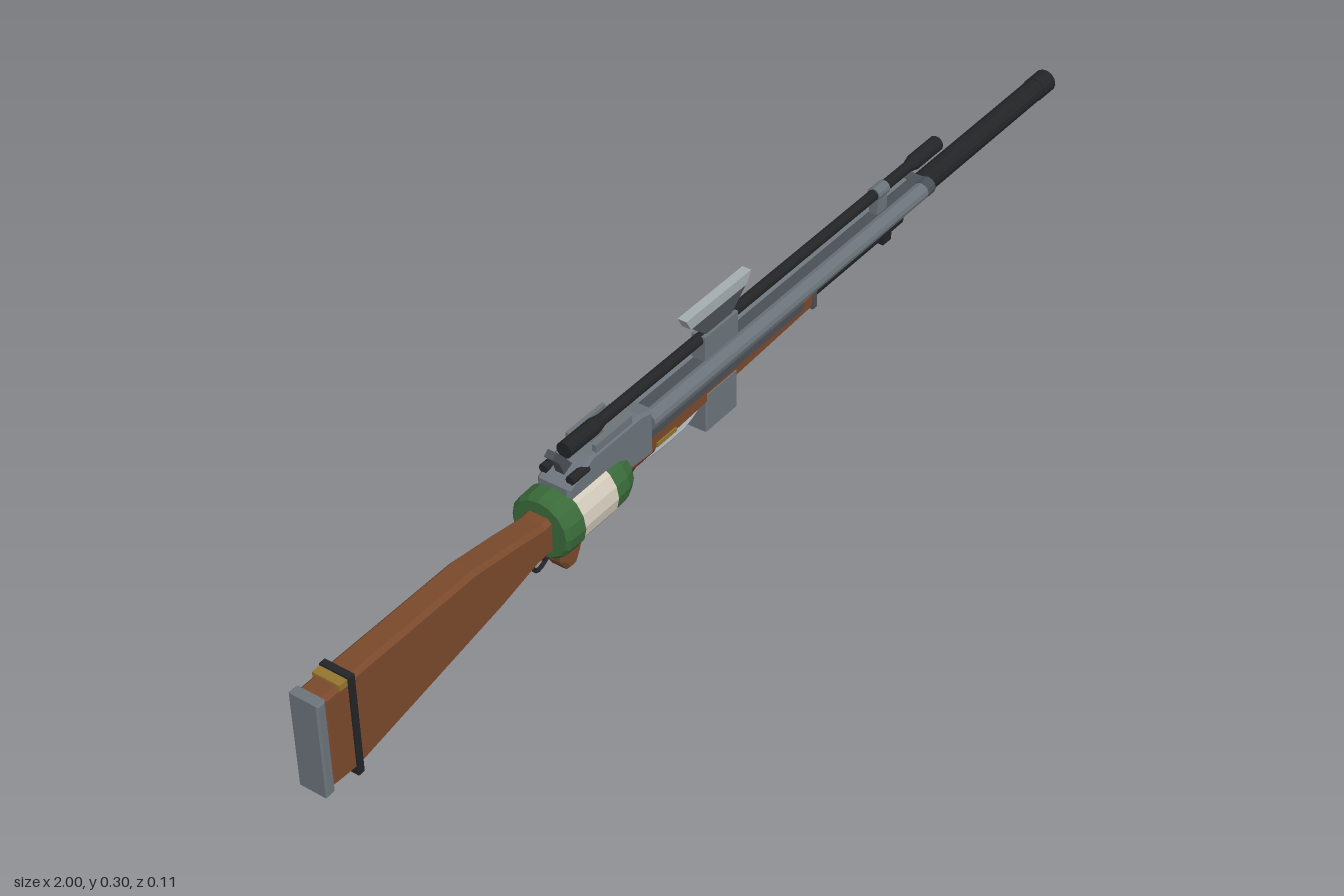
import * as THREE from 'three';

const paint = (name, color) => {
  const m = new THREE.MeshStandardMaterial({ color, flatShading: true });
  m.name = name;
  return m;
};

export function createModel() {
  const group = new THREE.Group();
  const wood = paint('wood', 0x7a4a2c);
  const steel = paint('steel', 0x6c747b);
  const darkSteel = paint('dark steel', 0x4b5056);
  const black = paint('black metal', 0x222426);
  const green = paint('green', 0x3a6b3a);
  const cream = paint('cream', 0xd2cabb);
  const pale = paint('pale steel', 0xa5adb2);
  const brass = paint('brass', 0x96752f);
  const red = paint('red', 0x8f2f22);

  const add = (name, geo, mat) => {
    const mesh = new THREE.Mesh(geo, mat);
    mesh.name = name;
    group.add(mesh);
    return mesh;
  };
  // Box given by its x and y limits, and its centre and size in z
  const box = (name, mat, x0, x1, y0, y1, depth, z = 0) =>
    add(name, new THREE.BoxGeometry(x1 - x0, y1 - y0, depth)
      .translate((x0 + x1) / 2, (y0 + y1) / 2, z), mat);
  // Lathe along x from [x, radius] pairs
  const turned = (name, mat, profile, y, z = 0, sides = 14) =>
    add(name, new THREE.LatheGeometry(profile.map(([x, r]) => new THREE.Vector2(r, x)), sides)
      .rotateZ(-Math.PI / 2).translate(0, y, z), mat);
  const rod = (name, mat, x0, x1, r, y, z = 0, sides = 12) =>
    turned(name, mat, [[x0, 0], [x0, r], [x1, r], [x1, 0]], y, z, sides);
  // Side outline with bevelled edges, centred in z
  const slab = (name, mat, points, depth, bevel = 0) => {
    const geo = new THREE.ExtrudeGeometry(
      new THREE.Shape(points.map(([x, y]) => new THREE.Vector2(x, y))), {
        depth: depth - 2 * bevel, bevelEnabled: bevel > 0, bevelThickness: bevel,
        bevelSize: bevel, bevelOffset: -bevel, bevelSegments: 1,
      });
    return add(name, geo.translate(0, 0, -depth / 2 + bevel), mat);
  };
  const wire = (name, mat, points, r, z = 0) =>
    add(name, new THREE.TubeGeometry(new THREE.CatmullRomCurve3(
      points.map(([x, y]) => new THREE.Vector3(x, y, z))), 16, r, 6), mat);

  // Shoulder stock
  slab('stock', wood, [[-0.985, 0.015], [-0.93, 0.012], [-0.6, 0.075], [-0.52, 0.095], [-0.44, 0.1],
    [-0.44, 0.165], [-0.5, 0.158], [-0.56, 0.168], [-0.66, 0.182], [-0.985, 0.182]], 0.048, 0.007);
  slab('buttPlate', steel, [[-1, 0.01], [-0.982, 0.012], [-0.982, 0.183], [-1, 0.183]], 0.054, 0.003);
  box('stockStrap', black, -0.935, -0.923, 0.003, 0.187, 0.054);
  box('stockBand', brass, -0.952, -0.936, 0.174, 0.185, 0.05);
  box('stockPlate', brass, -0.72, -0.61, 0.082, 0.118, 0.006, -0.025);
  box('slingNub', black, -0.625, -0.605, 0.064, 0.076, 0.012);

  // Wrapped canister around the wrist
  turned('canisterRear', green, [[-0.485, 0], [-0.485, 0.05], [-0.478, 0.056], [-0.445, 0.057]], 0.132, 0, 16);
  turned('canisterBand', cream, [[-0.445, 0.054], [-0.36, 0.054]], 0.132, 0, 16);
  turned('canisterNose', green, [[-0.36, 0.054], [-0.33, 0.052], [-0.308, 0.043], [-0.295, 0.028],
    [-0.29, 0]], 0.132, 0, 16);

  // Receiver with side plates and hammer
  slab('receiver', steel, [[-0.45, 0.15], [-0.24, 0.13], [-0.24, 0.215], [-0.27, 0.222],
    [-0.39, 0.222], [-0.45, 0.195]], 0.062, 0.005);
  for (const s of [-1, 1]) {
    box('sidePlate', steel, -0.38, -0.29, 0.195, 0.234, 0.007, s * 0.025);
    rod('sidePin', black, -0.44, -0.4, 0.008, 0.205, s * 0.025, 8);
    // Long tubes beside the barrel
    rod('sideTube', steel, -0.24, 0.565, 0.0155, 0.188, s * 0.019);
    rod('tubeCap', darkSteel, 0.545, 0.568, 0.0165, 0.188, s * 0.018);
  }
  slab('hammer', darkSteel, [[-0.43, 0.2], [-0.41, 0.21], [-0.43, 0.236], [-0.447, 0.255],
    [-0.457, 0.247], [-0.44, 0.228]], 0.016);
  box('barrelRib', darkSteel, -0.26, 0.57, 0.165, 0.2, 0.026);

  // Barrel and muzzle
  rod('barrel', black, 0.53, 0.998, 0.021, 0.178, 0, 14);
  rod('muzzleRim', black, 0.96, 0.999, 0.0222, 0.178, 0, 14);
  rod('bore', steel, 0.99, 1, 0.011, 0.178);

  // Sighting tube
  turned('sightTube', black, [[-0.42, 0], [-0.42, 0.014], [-0.35, 0.014], [-0.33, 0.01], [0.53, 0.01],
    [0.55, 0.0145], [0.62, 0.0145], [0.62, 0]], 0.238);
  rod('sightLens', green, 0.615, 0.623, 0.0125, 0.238);
  for (const x of [-0.35, -0.035, 0.438]) box('sightMount', steel, x - 0.015, x + 0.015, 0.195, 0.23, 0.016);
  rod('mountRing', steel, 0.422, 0.455, 0.0125, 0.238);

  // Top hopper
  slab('hopper', darkSteel, [[-0.07, 0.246], [0, 0.246], [0.04, 0.28], [-0.11, 0.28]], 0.016);
  slab('hopperLip', pale, [[-0.11, 0.278], [0.04, 0.278], [0.052, 0.299], [-0.122, 0.299]], 0.017);
  box('hopperFoot', steel, -0.08, 0.01, 0.2, 0.246, 0.026);

  // Fore-end, magazine and lower tube
  slab('foreEnd', wood, [[-0.4, 0.115], [-0.2, 0.12], [0.21, 0.137], [0.22, 0.142],
    [0.22, 0.17], [-0.4, 0.17]], 0.042, 0.006);
  slab('magazine', steel, [[-0.088, 0.07], [-0.004, 0.07], [-0.004, 0.147], [-0.088, 0.147]], 0.044, 0.003);
  rod('lowerTube', black, 0.2, 0.5, 0.014, 0.153);
  box('tubeClamp', black, 0.435, 0.46, 0.135, 0.185, 0.03);
  box('foreBand', darkSteel, 0.21, 0.222, 0.136, 0.172, 0.045);
  rod('indicator', red, -0.3, -0.21, 0.012, 0.113, 0, 8);
  for (const s of [-1, 1]) {
    box('foreInlay', brass, -0.22, -0.17, 0.126, 0.134, 0.004, s * 0.021);
    box('foreRail', darkSteel, -0.24, 0.18, 0.155, 0.168, 0.006, s * 0.022);
  }

  // Grip, guard and levers
  slab('grip', wood, [[-0.46, 0.095], [-0.455, 0.05], [-0.442, 0.03], [-0.422, 0.03],
    [-0.408, 0.055], [-0.4, 0.095]], 0.038, 0.006);
  wire('guard', black, [[-0.455, 0.082], [-0.475, 0.064], [-0.495, 0.058], [-0.51, 0.075], [-0.53, 0.088],
    [-0.51, 0.1]], 0.004);
  wire('trigger', black, [[-0.48, 0.1], [-0.487, 0.08], [-0.478, 0.07]], 0.004);
  wire('frontLever', black, [[-0.31, 0.092], [-0.28, 0.087], [-0.25, 0.1], [-0.23, 0.115]], 0.004);
  wire('feedRod', pale, [[-0.28, 0.112], [-0.24, 0.1], [-0.12, 0.097], [-0.085, 0.11]], 0.005);
  return group;
}
